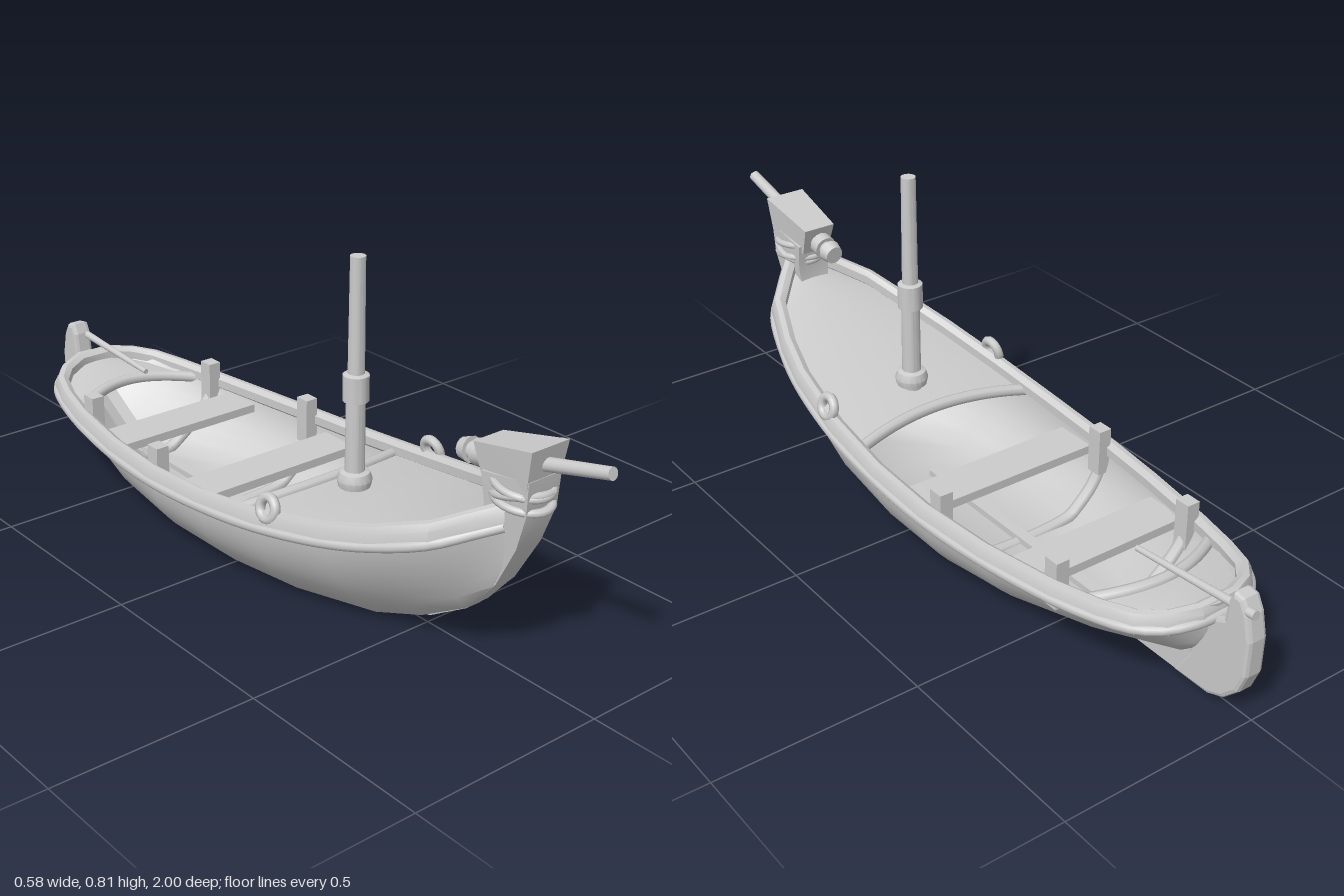
import * as THREE from 'three';
import { toCreasedNormals } from 'three/addons/utils/BufferGeometryUtils.js';

const V = (x, y, z) => new THREE.Vector3(x, y, z);
const solid = new THREE.MeshStandardMaterial({ color: 0xcccccc });
const thin = new THREE.MeshStandardMaterial({ color: 0xcccccc, side: THREE.DoubleSide });

// Hull stations, bow to stern: z, half beam, sheer y, bottom y, bottom half width, fullness
const stations = [
  [0.76, 0.045, 0.405, 0.26, 0.03, 1.2],
  [0.72, 0.085, 0.385, 0.19, 0.03, 1.4],
  [0.65, 0.15, 0.35, 0.11, 0.035, 1.6],
  [0.52, 0.2, 0.305, 0.035, 0.04, 1.9],
  [0.4, 0.232, 0.275, 0, 0.07, 2.2],
  [0.2, 0.262, 0.238, 0, 0.14, 2.5],
  [0, 0.274, 0.213, 0, 0.17, 2.6],
  [-0.2, 0.272, 0.2, 0, 0.17, 2.6],
  [-0.4, 0.253, 0.196, 0, 0.13, 2.4],
  [-0.6, 0.22, 0.2, 0.005, 0.06, 1.8],
  [-0.72, 0.19, 0.207, 0.03, 0.025, 1.3],
  [-0.8, 0.16, 0.215, 0.06, 0.02, 1.1],
  [-0.85, 0.115, 0.223, 0.1, 0.02, 1],
  [-0.88, 0.05, 0.232, 0.15, 0.02, 1],
];

function stationAt(z) {
  let i = 0;
  while (i < stations.length - 2 && stations[i + 1][0] > z) i++;
  const a = stations[i], b = stations[i + 1];
  const t = THREE.MathUtils.clamp((z - a[0]) / (b[0] - a[0]), 0, 1);
  return a.map((v, k) => (k ? v + (b[k] - v) * t : z));
}

// Section from port sheer, under the bottom, to starboard sheer
function section([z, w, sheer, bottom, flat, power], inset = 0, n = 7) {
  const side = [];
  for (let i = n; i >= 0; i--) {
    const t = i / n;
    const x = flat + (w - flat) * (1 - (1 - t) ** power);
    side.push([Math.max(x - inset, 0.004), bottom + inset + (sheer - bottom - inset) * t]);
  }
  return [...side.map(([x, y]) => V(x, y, z)), ...side.reverse().map(([x, y]) => V(-x, y, z))];
}

// Skin a series of equal rings; closed rings may be capped
function loft(rings, closed = false, crease = 0.7) {
  const n = rings[0].length, pos = [], index = [];
  rings.flat().forEach((p) => pos.push(p.x, p.y, p.z));
  for (let i = 0; i < rings.length - 1; i++) {
    for (let j = 0; j < (closed ? n : n - 1); j++) {
      const a = i * n + j, b = i * n + (j + 1) % n;
      index.push(a, b, b + n, a, b + n, a + n);
    }
  }
  if (closed) {
    const last = (rings.length - 1) * n;
    for (let j = 1; j < n - 1; j++) index.push(0, j + 1, j, last, last + j, last + j + 1);
  }
  const g = new THREE.BufferGeometry();
  g.setAttribute('position', new THREE.Float32BufferAttribute(pos, 3));
  g.setIndex(index);
  return toCreasedNormals(g, crease);
}

const tube = (points, r, seg = 40) =>
  new THREE.TubeGeometry(new THREE.CatmullRomCurve3(points), seg, r, 8);

// Tapered rod between two points
function rod(a, b, ra, rb = ra) {
  const d = b.clone().sub(a);
  const g = new THREE.CylinderGeometry(rb, ra, d.length(), 14);
  g.applyQuaternion(new THREE.Quaternion().setFromUnitVectors(V(0, 1, 0), d.normalize()));
  return g.translate((a.x + b.x) / 2, (a.y + b.y) / 2, (a.z + b.z) / 2);
}

// Plate cut from a side outline of [z, y] points
function plate(outline, thickness, bevel) {
  const shape = new THREE.Shape(outline.map(([z, y]) => new THREE.Vector2(z, y)));
  const g = new THREE.ExtrudeGeometry(shape, {
    depth: thickness - 2 * bevel, bevelEnabled: bevel > 0, bevelThickness: bevel,
    bevelSize: bevel, bevelOffset: -bevel, bevelSegments: 2,
  });
  return g.translate(0, 0, bevel - thickness / 2).rotateY(-Math.PI / 2);
}

export function createModel() {
  const boat = new THREE.Group();
  const add = (name, geometry, material = solid) => {
    const mesh = new THREE.Mesh(geometry, material);
    mesh.name = name;
    boat.add(mesh);
    return mesh;
  };

  // Hull skins and the small stern closure
  add('hull', loft(stations.map((s) => section(s)), false, 0.9), thin);
  add('innerHull', loft(stations.slice(2, 13).map((s) => section(s, 0.016)), false, 0.9), thin);
  const end = section(stations[stations.length - 1]);
  add('transom', loft([end, end.map((p) => V(p.x * 0.2, p.y, p.z - 0.008))], true), thin);

  // Gunwale and rubbing strake run round the stern as one sweep
  const path = [...stations.map((s) => [s[1], s[2], s[0]]),
    ...stations.map((s) => [-s[1], s[2], s[0]]).reverse()];
  const outward = path.map((p, i) => {
    const a = path[Math.max(i - 1, 0)], b = path[Math.min(i + 1, path.length - 1)];
    return V(-(b[2] - a[2]), 0, b[0] - a[0]).normalize();
  });
  const rail = [[-0.026, -0.004], [-0.012, 0.006], [0.002, 0.004], [0.01, -0.012],
    [0.012, -0.042], [0, -0.05], [-0.026, -0.026]];
  add('gunwale', loft(path.map(([x, y, z], i) =>
    rail.map(([o, h]) => V(x, y + h, z).addScaledVector(outward[i], o))), true, 0.6), thin);
  add('rubbingStrake', tube(path.map(([x, y, z], i) =>
    V(x, y - 0.032 - 0.02 * Math.max(z, 0), z).addScaledVector(outward[i], 0.004)), 0.013, 110));

  // Cambered decks with a curved beam along the open edge
  const deckRow = (z, bend) => {
    const row = [];
    for (let i = -6; i <= 6; i++) {
      const u = i / 6, zz = z + bend * u * u, s = stationAt(zz);
      row.push(V(u * (s[1] - 0.012), s[2] - 0.028 + 0.014 * (1 - u * u), zz));
    }
    return row;
  };
  const deck = (name, from, to, bend) => {
    const rows = [];
    for (let i = 0; i <= 12; i++) rows.push(deckRow(from + (to - from) * i / 12, bend * (1 - i / 12)));
    add(name, loft(from > to ? rows : rows.reverse()), thin);
    add(name + 'Beam', tube(deckRow(from, bend), 0.015));
  };
  deck('foredeck', 0.14, 0.75, -0.04);
  deck('aftDeck', -0.72, -0.875, 0.07);

  // Keelson, thwarts, ribs and rib heads
  add('keelson', new THREE.BoxGeometry(0.03, 0.02, 0.85).translate(0, 0.022, -0.28));
  for (const z of [-0.11, -0.48]) {
    const w = stationAt(z)[1] - 0.02;
    add('thwart', new THREE.BoxGeometry(2 * w, 0.022, 0.11).translate(0, 0.15, z));
  }
  for (const z of [-0.22, -0.58]) {
    const s = stationAt(z);
    add('rib', tube(section(s, 0.022), 0.016));
    for (const side of [-1, 1]) {
      add('ribHead', new THREE.BoxGeometry(0.035, 0.12, 0.04).translate(side * (s[1] - 0.035), 0.185, z));
    }
  }

  // Stem post: outer z, y, inner z, y, half width
  const stem = [
    [0.825, 0.48, 0.69, 0.46, 0.048], [0.82, 0.4, 0.7, 0.39, 0.045], [0.79, 0.31, 0.69, 0.31, 0.037],
    [0.73, 0.2, 0.65, 0.2, 0.029], [0.64, 0.1, 0.55, 0.1, 0.021], [0.52, 0.025, 0.43, 0.03, 0.014],
    [0.4, 0, 0.36, 0.012, 0.01],
  ];
  add('stemPost', loft(stem.map(([zo, yo, zi, yi, h]) =>
    [V(h, yo, zo), V(-h, yo, zo), V(-h, yi, zi), V(h, yi, zi)]), true), thin);

  // Bow block holding the spar, with its rope lashing
  const blockRing = (top, bottom, zTop, zBottom, h) => [V(h, top, zTop), V(h * 0.88, bottom, zBottom),
    V(-h * 0.88, bottom, zBottom), V(-h, top, zTop)];
  add('bowBlock', loft([blockRing(0.553, 0.46, 0.835, 0.82, 0.055),
    blockRing(0.515, 0.44, 0.66, 0.685, 0.044)], true), thin);
  add('bowSpar', rod(V(0, 0.503, 0.8), V(0, 0.552, 0.997), 0.016, 0.014));
  add('sparHeel', rod(V(0, 0.478, 0.7), V(0, 0.463, 0.6), 0.02));
  add('sparCollar', rod(V(0, 0.473, 0.66), V(0, 0.468, 0.632), 0.03));
  add('sparKnob', rod(V(0, 0.466, 0.615), V(0, 0.462, 0.59), 0.03, 0.024));
  for (const [y, tilt] of [[0.445, 0.12], [0.425, -0.25], [0.412, 0.1]]) {
    const rope = add('lashing', new THREE.TorusGeometry(0.055, 0.009, 8, 28)
      .rotateX(Math.PI / 2).scale(1, 1, 1.22));
    rope.position.set(0, y, 0.765);
    rope.rotation.set(tilt, 0, tilt * 0.4);
  }

  // Mast with collar and foot ring
  const mast = new THREE.Group();
  mast.name = 'mast';
  boat.add(mast);
  const profile = [[0, 0.19], [0.025, 0.19], [0.025, 0.235], [0.038, 0.24], [0.042, 0.258], [0.036, 0.276],
    [0.024, 0.28], [0.023, 0.452], [0.031, 0.455], [0.031, 0.518], [0.02, 0.522], [0.018, 0.8], [0, 0.8]];
  const pole = new THREE.Mesh(toCreasedNormals(new THREE.LatheGeometry(
    profile.map(([x, y]) => new THREE.Vector2(x, y)), 18), 0.6), solid);
  pole.name = 'mastPole';
  mast.add(pole);
  mast.position.z = 0.24;

  // Rope hoops on the gunwale beside the mast
  for (const side of [-1, 1]) {
    add('gunwaleHoop', new THREE.TorusGeometry(0.026, 0.012, 8, 20)
      .rotateY(Math.PI / 2).rotateZ(side * 0.25).translate(side * 0.252, 0.257, 0.235));
  }

  // Skeg, rudder and tiller
  add('skeg', plate([[-0.5, 0], [-0.79, 0], [-0.83, 0.08], [-0.885, 0.2], [-0.8, 0.14], [-0.62, 0.03]], 0.036, 0));
  add('rudder', plate([[-0.785, 0.002], [-0.89, 0.002], [-0.935, 0.02], [-0.975, 0.06], [-0.995, 0.11],
    [-0.998, 0.2], [-0.985, 0.26], [-0.967, 0.293], [-0.94, 0.297], [-0.927, 0.27], [-0.92, 0.22],
    [-0.88, 0.2], [-0.83, 0.08]], 0.052, 0.01));
  add('tiller', rod(V(0.02, 0.238, -0.645), V(0.014, 0.268, -0.997), 0.007, 0.011));

  return boat;
}
